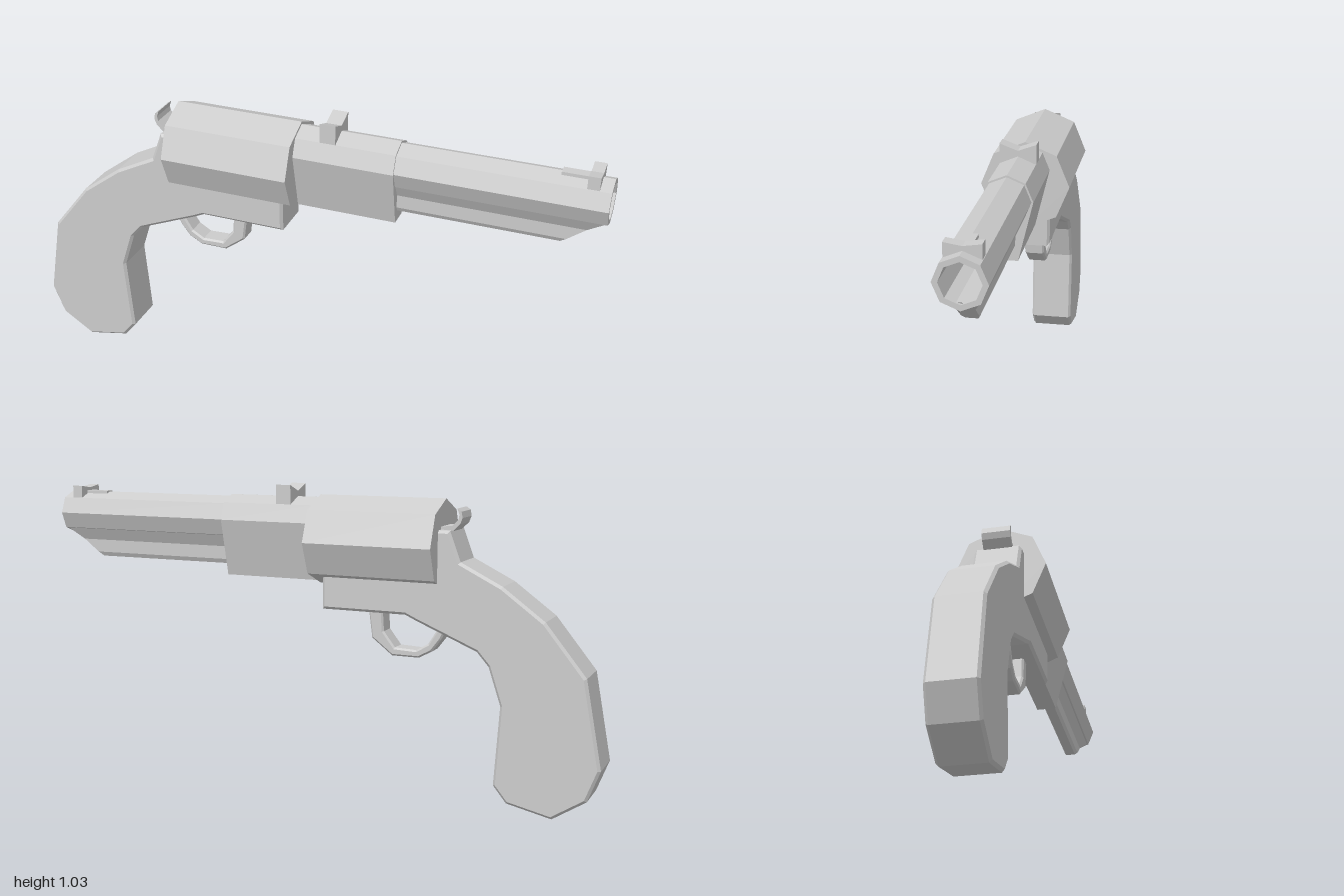
import * as THREE from 'three';

const material = new THREE.MeshStandardMaterial({ color: 0xcccccc, flatShading: true, side: THREE.DoubleSide });

const toShape = (points) => new THREE.Shape(points.map(([a, b]) => new THREE.Vector2(a, b)));

function add(group, name, geometry) {
  const mesh = new THREE.Mesh(geometry, material);
  mesh.name = name;
  group.add(mesh);
  return mesh;
}

// Side outline (x, y) given a thickness across z, centred, with an optional chamfer.
function sidePlate(points, halfWidth, bevel = 0) {
  const geometry = new THREE.ExtrudeGeometry(toShape(points), {
    depth: 2 * (halfWidth - bevel), bevelEnabled: bevel > 0, bevelSegments: 1,
    bevelSize: bevel, bevelThickness: bevel, bevelOffset: -bevel,
  });
  return geometry.translate(0, 0, bevel - halfWidth);
}

// Cross-section (z, y) drawn along x from x0 to x1.
function alongX(shape, x0, x1) {
  const geometry = new THREE.ExtrudeGeometry(shape, { depth: x1 - x0, bevelEnabled: false });
  return geometry.rotateY(Math.PI / 2).translate(x0, 0, 0);
}

// Octagon with corners at the top, bottom and sides.
const octagon = (radius, cy) => Array.from({ length: 8 }, (_, i) => {
  const a = (i * Math.PI) / 4;
  return [radius * Math.cos(a), cy + radius * Math.sin(a)];
});

// Completes a half section, listed top to bottom on the positive side.
const mirrored = (half) => [...half, ...half.map(([z, y]) => [-z, y]).reverse()];

export function createModel() {
  const group = new THREE.Group();
  const boreY = 0.913;

  // Curved grip running forward under the drum
  add(group, 'grip', sidePlate([
    [-0.05, 0.82], [-0.05, 0.628], [-0.345, 0.628], [-0.38, 0.612], [-0.59, 0.525],
    [-0.63, 0.48], [-0.672, 0.355], [-0.655, 0.09], [-0.70, 0.035], [-0.85, 0.003],
    [-0.96, 0.075], [-1.0, 0.18], [-0.945, 0.47], [-0.81, 0.637], [-0.67, 0.74],
    [-0.53, 0.81], [-0.493, 0.908], [-0.40, 0.91],
  ], 0.078, 0.009));

  // Eight-sided drum
  add(group, 'drum', alongX(toShape(octagon(0.15, 0.855)), -0.455, -0.01));

  // Barrel housing: octagonal top tapering to a narrow base
  const r = 0.083;
  const d = r * Math.SQRT1_2;
  add(group, 'barrelHousing', alongX(toShape(mirrored([
    [0.001, boreY + r], [d, boreY + d], [r, boreY], [0.035, 0.718],
  ])), -0.01, 0.33));

  // Barrel with an octagonal bore
  const barrelShape = toShape(octagon(0.077, boreY));
  barrelShape.holes.push(new THREE.Path(octagon(0.06, boreY).map(([z, y]) => new THREE.Vector2(z, y))));
  add(group, 'barrel', alongX(barrelShape, 0.33, 1));
  add(group, 'boreEnd', alongX(toShape(octagon(0.061, boreY)), 0.33, 0.6));

  // Lug under the barrel, its front end cut at a slope
  const lug = alongX(toShape(mirrored([
    [0.05, 0.858], [0.027, 0.815], [0.026, 0.77], [0.018, 0.755],
  ])), 0.33, 0.86);
  const pos = lug.attributes.position;
  for (let i = 0; i < pos.count; i++) {
    if (pos.getX(i) > 0.5) pos.setX(i, 0.86 + (pos.getY(i) - 0.755) * 1.3);
  }
  lug.computeVertexNormals();
  add(group, 'barrelLug', lug);

  // Notched sights
  const sight = (w, top, notch, bottom) => toShape([[-w, bottom], [w, bottom], [w, top], [0, notch], [-w, top]]);
  add(group, 'rearSight', alongX(sight(0.06, 1.037, 1.015, 0.972), 0.075, 0.128));
  add(group, 'frontSight', alongX(sight(0.053, 1.011, 1.003, 0.967), 0.925, 0.963));
  const ramp = add(group, 'frontSightRamp', new THREE.BoxGeometry(0.09, 0.03, 0.036));
  ramp.position.set(0.885, 0.978, 0);

  // Curved hammer spur
  add(group, 'hammer', sidePlate([
    [-0.45, 0.90], [-0.45, 0.918], [-0.492, 0.922], [-0.512, 0.942], [-0.515, 0.958],
    [-0.508, 0.978], [-0.522, 0.968], [-0.526, 0.948], [-0.518, 0.928], [-0.495, 0.905],
  ], 0.047));

  // Open guard loop below the body
  add(group, 'triggerGuard', sidePlate([
    [-0.475, 0.585], [-0.455, 0.545], [-0.425, 0.505], [-0.38, 0.48], [-0.285, 0.48],
    [-0.213, 0.535], [-0.20, 0.635], [-0.25, 0.635], [-0.255, 0.56], [-0.295, 0.508],
    [-0.37, 0.505], [-0.412, 0.53], [-0.44, 0.575], [-0.45, 0.60],
  ], 0.034, 0.006));

  return group;
}
